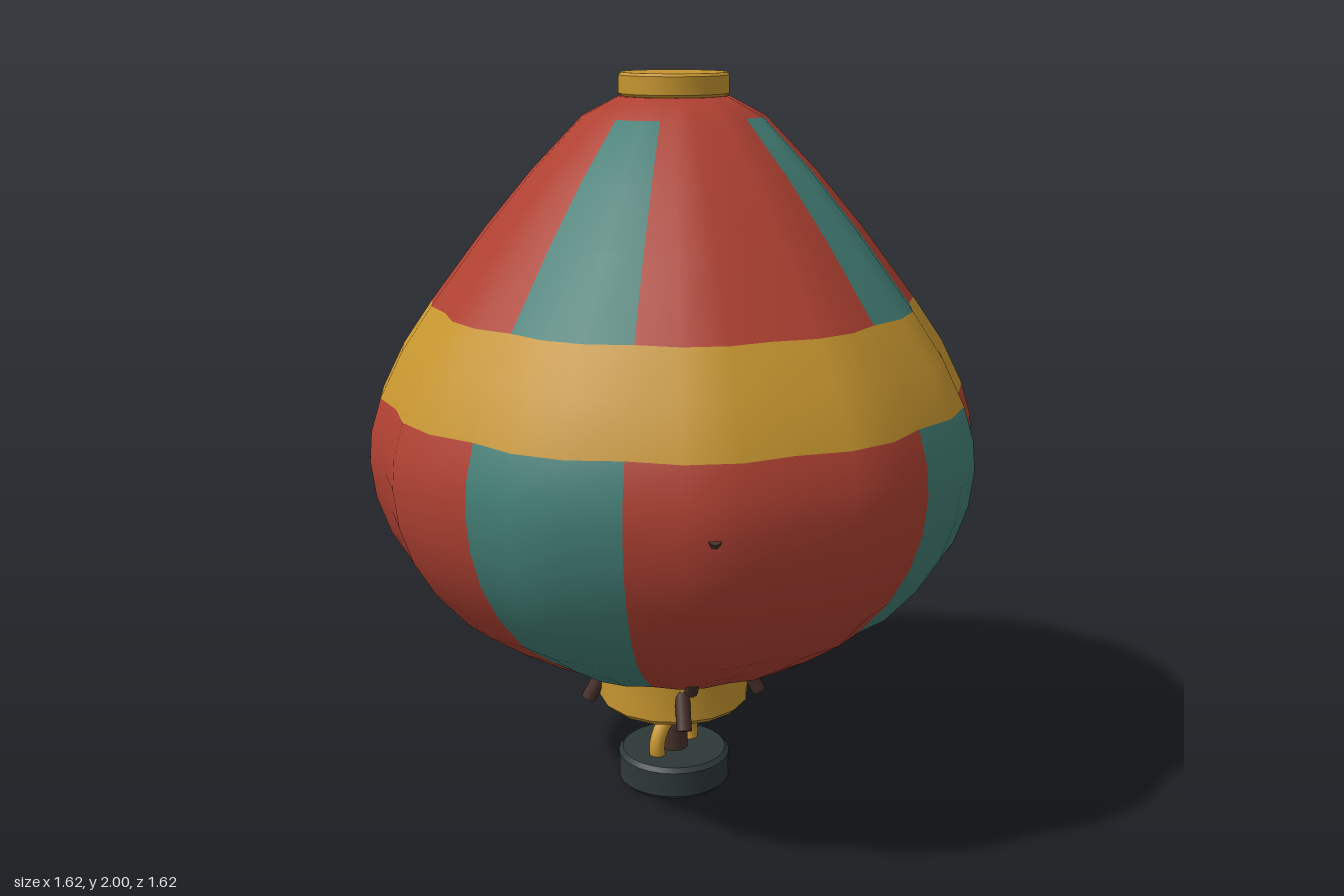
import * as THREE from 'three';
import { toCreasedNormals } from 'three/addons/utils/BufferGeometryUtils.js';

const paint = (name, color) => Object.assign(new THREE.MeshStandardMaterial({ color }), { name });

// Envelope profile as [radius, height]; rows fall on the colour borders
const PROFILE = [
  [0.14, 0.40], [0.27, 0.42], [0.39, 0.45], [0.5, 0.52], [0.61, 0.6], [0.695, 0.7],
  [0.752, 0.8], [0.785, 0.9], [0.797, 1.0], [0.79, 1.08], [0.763, 1.17], [0.705, 1.29],
  [0.625, 1.41], [0.485, 1.6], [0.363, 1.75], [0.232, 1.89], [0.14, 1.94],
];
const COLUMNS = 36;

// Twelve bulging gores: 0 = red, 1 = teal, 2 = gold
function envelopeGeometry() {
  const pos = [];
  for (const [r, y] of PROFILE) {
    for (let i = 0; i < COLUMNS; i++) {
      const a = (i / COLUMNS) * Math.PI * 2;
      const R = r * (1 + 0.037 * Math.abs(Math.sin(6 * a)));
      pos.push(R * Math.sin(a), y, R * Math.cos(a));
    }
  }
  const faces = [[], [], []];
  for (let j = 0; j < PROFILE.length - 1; j++) {
    const mid = (PROFILE[j][1] + PROFILE[j + 1][1]) / 2;
    for (let i = 0; i < COLUMNS; i++) {
      const striped = mid > 0.45 && mid < 1.89 && i % 9 < 3;
      const colour = mid > 1.17 && mid < 1.41 ? 2 : striped ? 1 : 0;
      const n = (i + 1) % COLUMNS;
      const a = j * COLUMNS + i, b = j * COLUMNS + n;
      faces[colour].push(a, b, b + COLUMNS, a, b + COLUMNS, a + COLUMNS);
    }
  }
  // Close the bottom and the top
  const last = (PROFILE.length - 1) * COLUMNS;
  const bottom = pos.length / 3, top = bottom + 1;
  pos.push(0, 0.395, 0, 0, 1.95, 0);
  for (let i = 0; i < COLUMNS; i++) {
    const n = (i + 1) % COLUMNS;
    faces[0].push(bottom, n, i, top, last + i, last + n);
  }
  const geo = new THREE.BufferGeometry();
  geo.setAttribute('position', new THREE.Float32BufferAttribute(pos, 3));
  geo.setIndex(faces.flat());
  let start = 0;
  faces.forEach((f, m) => {
    geo.addGroup(start, f.length, m);
    start += f.length;
  });
  geo.computeVertexNormals();
  return geo;
}

// Upright disc with chamfered rims
function chamferedDisc(r, y0, y1, c, sides) {
  const pts = [[0, y0], [r - c, y0], [r, y0 + c], [r, y1 - c], [r - c, y1], [0, y1]];
  const geo = new THREE.LatheGeometry(pts.map(p => new THREE.Vector2(...p)), sides);
  return toCreasedNormals(geo, 0.5);
}

export function createModel() {
  const red = paint('red cloth', 0xaf4132);
  const teal = paint('teal cloth', 0x437f76);
  const gold = paint('gold', 0xc6952f);
  const brown = paint('dark brown', 0x46302a);
  const slate = paint('dark slate', 0x2e3839);

  const model = new THREE.Group();
  model.name = 'balloon';
  const add = (name, geo, mat) => {
    const mesh = new THREE.Mesh(geo, mat);
    mesh.name = name;
    model.add(mesh);
    return mesh;
  };
  // Round bar between two points
  const bar = (name, from, to, r, mat) => {
    const dir = to.clone().sub(from);
    const mesh = add(name, new THREE.CylinderGeometry(r, r, dir.length(), 10), mat);
    mesh.position.copy(from).add(to).multiplyScalar(0.5);
    mesh.quaternion.setFromUnitVectors(new THREE.Vector3(0, 1, 0), dir.normalize());
  };

  add('envelope', envelopeGeometry(), [red, teal, gold]);
  add('crownCap', chamferedDisc(0.145, 1.94, 2, 0.007, 24), gold);

  // Drum, mast, ring and foot below the envelope
  add('drum', chamferedDisc(0.213, 0.25, 0.39, 0.015, 16), gold);
  add('mast', new THREE.CylinderGeometry(0.04, 0.04, 0.2, 16), brown).position.y = 0.17;
  add('ring', new THREE.TorusGeometry(0.078, 0.023, 10, 28), gold).position.y = 0.115;
  add('foot', chamferedDisc(0.16, 0, 0.095, 0.012, 28), slate);

  // Canister on the left side of the drum
  add('canister', chamferedDisc(0.037, 0.255, 0.385, 0.006, 14), slate).position.x = 0.213;

  // Struts and ropes on the four diagonals
  for (let k = 0; k < 4; k++) {
    const a = Math.PI / 4 + (k * Math.PI) / 2;
    const at = (r, y) => new THREE.Vector3(r * Math.sin(a), y, r * Math.cos(a));
    bar('strut', at(0.247, 0.255), at(0.15, 0.425), 0.021, brown);
    bar('rope', at(0.396, 0.44), at(0.813, 1.003), 0.018, brown);
  }
  return model;
}
